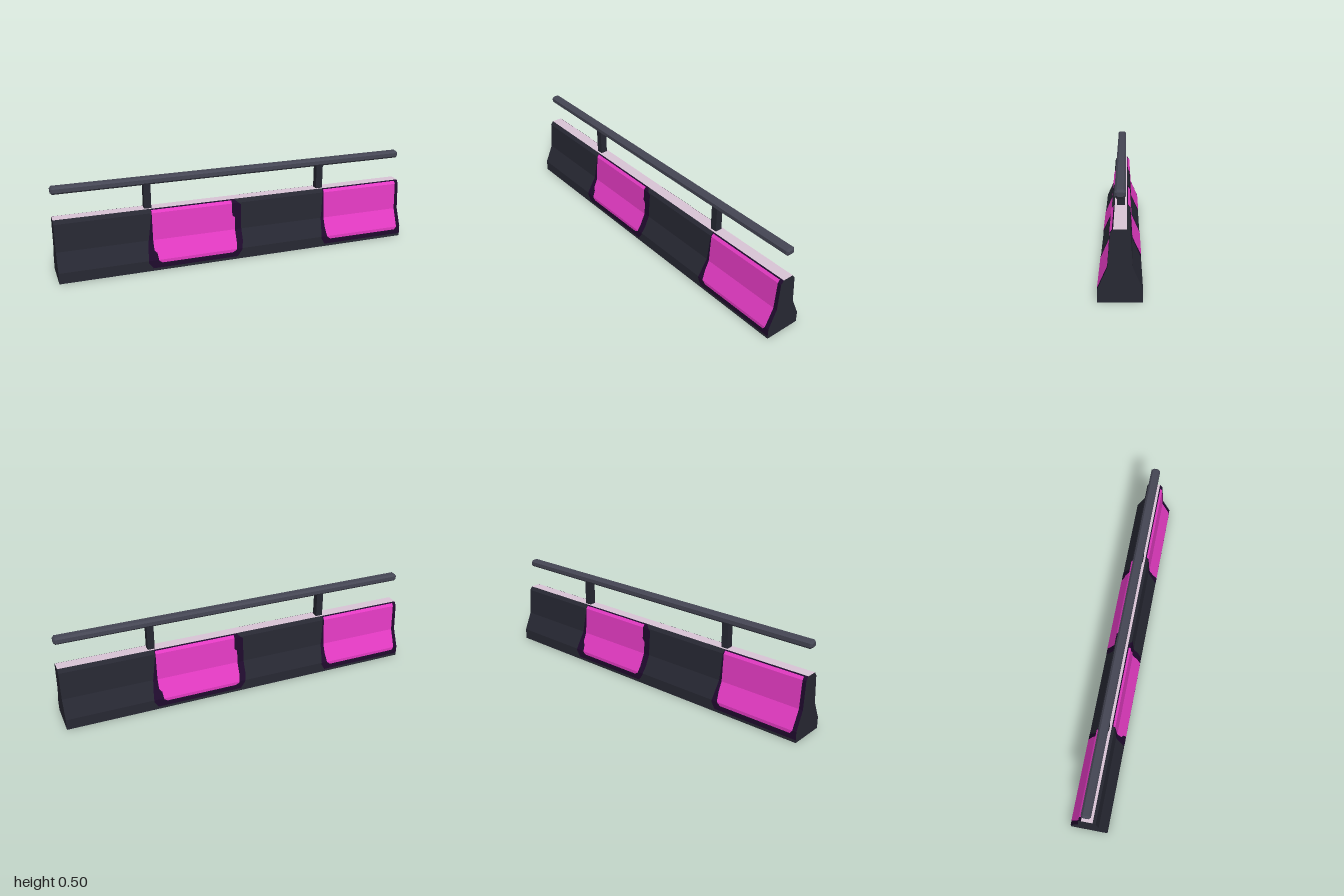
import * as THREE from 'three';

const mat = (name, color, side = THREE.FrontSide) => {
  const m = new THREE.MeshStandardMaterial({ color, side });
  m.name = name;
  return m;
};

// Half cross-section of the barrier as [y, z], from the ground to the top
const PROFILE = [[0, 0.1], [0.06, 0.1], [0.16, 0.055], [0.31, 0.045], [0.33, 0.03]];

// Linear lookup in rows sorted by their first value
function sample(rows, y, column) {
  for (let i = 1; i < rows.length; i++) {
    const a = rows[i - 1], b = rows[i];
    if (y <= b[0] + 1e-6) return a[column] + (b[column] - a[column]) * (y - a[0]) / (b[0] - a[0]);
  }
  return rows[rows.length - 1][column];
}

// Sheet that follows the profile; rows are [y, left x, right x]
function wallSheet(rows, offset) {
  const low = rows[0][0], high = rows[rows.length - 1][0];
  const inner = PROFILE.map(p => p[0]).filter(y => y > low && y < high);
  const ys = [...new Set([...rows.map(r => r[0]), ...inner])].sort((a, b) => a - b);
  const positions = [];
  for (let i = 1; i < ys.length; i++) {
    const [a, b, d, c] = [ys[i - 1], ys[i]].flatMap(y => [1, 2].map(
      column => [sample(rows, y, column), y, sample(PROFILE, y, 1) + offset]));
    positions.push(...a, ...b, ...c, ...a, ...c, ...d);
  }
  const geometry = new THREE.BufferGeometry();
  geometry.setAttribute('position', new THREE.Float32BufferAttribute(positions, 3));
  geometry.computeVertexNormals();
  return geometry;
}

// Outlines of the painted panels and their dark borders
const BORDERS = [
  [[0.015, -0.5, -0.02], [0.05, -0.525, 0.005], [0.1, -0.52, 0.015], [0.2, -0.505, 0.015],
    [0.3, -0.49, 0.015], [0.33, -0.49, -0.02]],
  [[0.015, 0.51, 1], [0.05, 0.49, 1], [0.1, 0.495, 1], [0.2, 0.505, 1], [0.33, 0.512, 1]],
];
const PANELS = [
  [[0.043, -0.45, -0.05], [0.055, -0.468, -0.028], [0.095, -0.473, -0.022], [0.11, -0.487, -0.022],
    [0.23, -0.487, -0.022], [0.245, -0.487, -0.036], [0.325, -0.487, -0.036]],
  [[0.043, 0.545, 0.965], [0.06, 0.525, 0.977], [0.11, 0.518, 0.978], [0.325, 0.518, 0.98]],
];

export function createModel() {
  const model = new THREE.Group();
  model.name = 'barrier';
  const body = mat('charcoal', 0x272833, THREE.DoubleSide);
  const border = mat('dark purple', 0x1f0a2d, THREE.DoubleSide);
  const panel = mat('magenta', 0xe53bc4, THREE.DoubleSide);
  const cap = mat('pale pink', 0xd9c5d6, THREE.DoubleSide);
  const metal = mat('grey metal', 0x454654);

  const add = (parent, name, geometry, material) => {
    const mesh = new THREE.Mesh(geometry, material);
    mesh.name = name;
    parent.add(mesh);
    return mesh;
  };

  // Two identical sides, the rear one turned half round; paint shows inside too
  for (const [name, angle] of [['frontSide', 0], ['backSide', Math.PI]]) {
    const side = new THREE.Group();
    side.name = name;
    side.rotation.y = angle;
    add(side, 'wall', wallSheet([[0, -1, 1], [0.33, -1, 1]], 0), body);
    for (const sign of [1, -1]) {
      BORDERS.forEach(rows => add(side, 'panelBorder', wallSheet(rows, sign * 0.001), border));
      PANELS.forEach(rows => add(side, 'paintedPanel', wallSheet(rows, sign * 0.002), panel));
    }
    model.add(side);
  }

  // End walls; the underside stays open
  const outline = new THREE.Shape([
    ...PROFILE.map(([y, z]) => new THREE.Vector2(z, y)),
    ...PROFILE.map(([y, z]) => new THREE.Vector2(-z, y)).reverse(),
  ]);
  for (const sign of [1, -1]) {
    const end = add(model, 'endWall', new THREE.ShapeGeometry(outline), body);
    end.rotation.y = sign * Math.PI / 2;
    end.position.x = sign;
  }

  // Pale top strip
  const top = add(model, 'topStrip', new THREE.PlaneGeometry(2, 0.06), cap);
  top.rotation.x = -Math.PI / 2;
  top.position.y = 0.33;

  // Posts
  for (const x of [-0.5, 0.5]) {
    add(model, 'railPost', new THREE.BoxGeometry(0.038, 0.14, 0.038), body).position.set(x, 0.4, 0);
  }

  // Eight-sided rail with chamfered ends
  const w = 0.025, h = 0.02, c = 0.01;
  const section = new THREE.Shape([
    [w, c - h], [w, h - c], [w - c, h], [c - w, h], [-w, h - c], [-w, c - h], [c - w, -h], [w - c, -h],
  ].map(([x, y]) => new THREE.Vector2(x, y)));
  const railGeometry = new THREE.ExtrudeGeometry(section, {
    depth: 1.98, bevelEnabled: true, bevelThickness: 0.01, bevelSize: 0.01, bevelOffset: -0.01, bevelSegments: 1,
  });
  railGeometry.translate(0, 0, -0.99).rotateY(Math.PI / 2);
  add(model, 'rail', railGeometry, metal).position.y = 0.482;

  return model;
}
